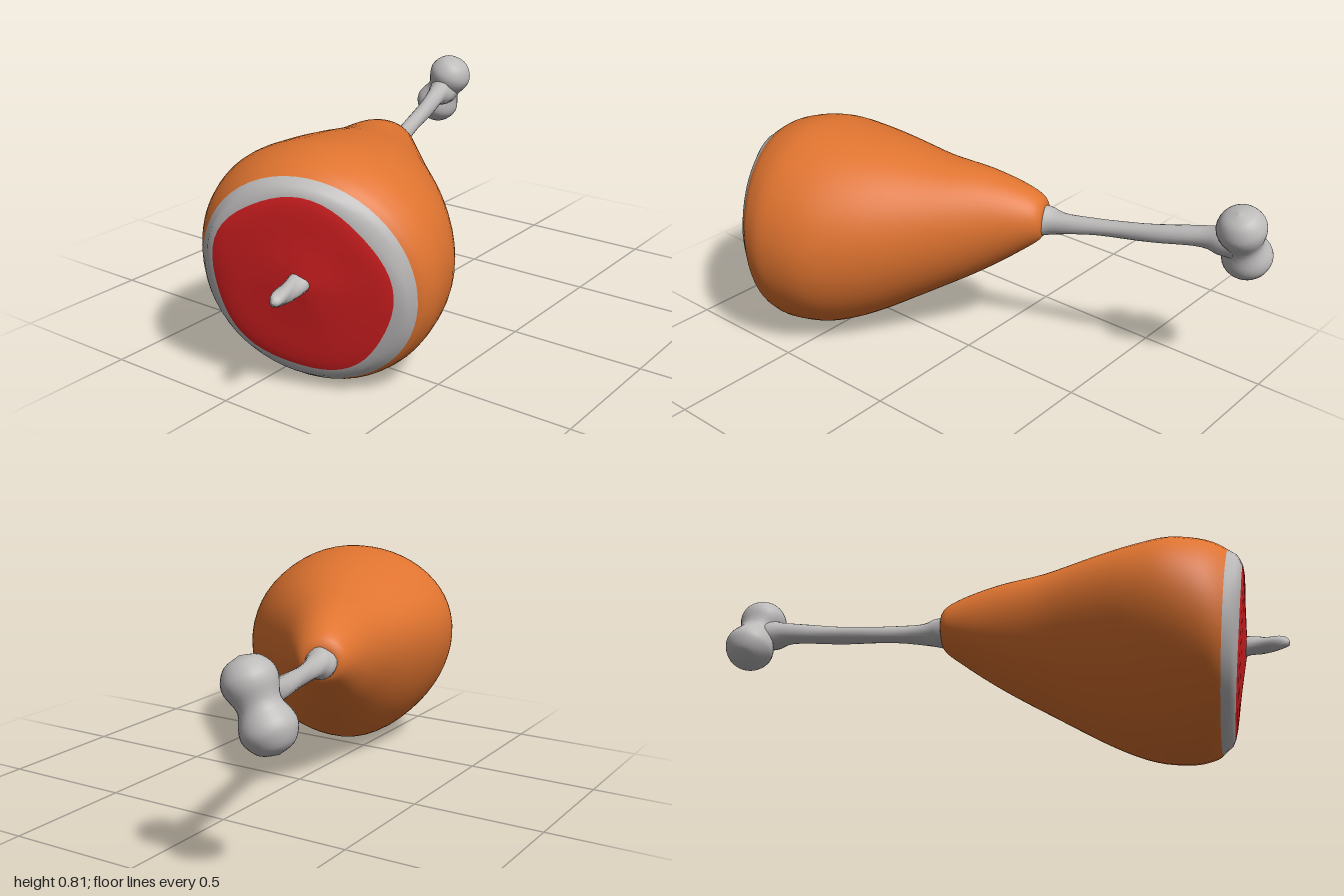
import * as THREE from 'three';

const V = (x, y, z) => new THREE.Vector3(x, y, z);
const skin = new THREE.MeshStandardMaterial({ color: 0xe07430 });
skin.name = 'roastedSkin';
const boneGrey = new THREE.MeshStandardMaterial({ color: 0xbdbaba });
boneGrey.name = 'boneAndFat';
const meatRed = new THREE.MeshStandardMaterial({ color: 0xd82022 });
meatRed.name = 'redMeat';

// Skin closed rings, ordered from back (-z) to front (+z); point(i, angle) gives a vertex
function loft(count, sides, point) {
  const pos = [], idx = [];
  for (let i = 0; i < count; i++) {
    for (let j = 0; j < sides; j++) pos.push(...point(i, (j / sides) * Math.PI * 2).toArray());
  }
  for (let i = 0; i < count - 1; i++) {
    for (let j = 0; j < sides; j++) {
      const a = i * sides + j, b = i * sides + (j + 1) % sides;
      idx.push(a, b, b + sides, a, b + sides, a + sides);
    }
  }
  const g = new THREE.BufferGeometry();
  g.setAttribute('position', new THREE.Float32BufferAttribute(pos, 3));
  g.setIndex(idx);
  g.computeVertexNormals();
  return g;
}

const smooth = (pts) => new THREE.CatmullRomCurve3(pts, false, 'catmullrom', 0.5);

function mesh(name, geometry, material) {
  const m = new THREE.Mesh(geometry, material);
  m.name = name;
  return m;
}

// Tilted oval slices: left x,z | right x,z | bottom y, top y | tilt, lift of the left side
const SLICES = [
  [-0.212, -0.19, -0.208, -0.192, 0.54, 0.544, 0, 0],
  [-0.28, -0.165, -0.145, -0.22, 0.48, 0.615, 0, 0],
  [-0.292, -0.09, -0.075, -0.175, 0.42, 0.665, 0, 0],
  [-0.285, 0.07, 0.05, -0.05, 0.31, 0.715, 0, 0.02],
  [-0.28, 0.25, 0.22, 0.11, 0.2, 0.745, 0, 0.05],
  [-0.295, 0.45, 0.39, 0.27, 0.09, 0.785, 0, 0.08],
  [-0.3, 0.59, 0.5, 0.41, 0.03, 0.81, 0.02, 0.09],
  [-0.285, 0.71, 0.548, 0.55, 0.008, 0.822, 0.05, 0.08],
  [-0.24, 0.82, 0.547, 0.625, 0.014, 0.8, 0.09, 0.04],
  [-0.18, 0.885, 0.53, 0.665, 0.035, 0.765, 0.12, 0],
  [-0.105, 0.92, 0.475, 0.725, 0.09, 0.71, 0.13, 0],
  [0.05, 0.885, 0.34, 0.785, 0.25, 0.56, 0.13, 0],
  [0.185, 0.85, 0.205, 0.848, 0.402, 0.418, 0.13, 0],
];

function buildHam() {
  const sub = 4, sides = 56, last = SLICES.length - 1;
  const left = smooth(SLICES.map((s) => V(s[0], s[1], s[7])));
  const right = smooth(SLICES.map((s) => V(s[2], s[3], s[6])));
  const height = smooth(SLICES.map((s) => V(s[4], s[5], 0)));
  const g = loft(last * sub + 1, sides, (i, a) => {
    const t = i / (last * sub);
    const l = left.getPoint(t), r = right.getPoint(t), h = height.getPoint(t);
    const c = Math.cos(a), s = Math.sin(a), ry = (h.y - h.x) / 2;
    // slightly uneven rim around the cut face
    const w = t > 9.5 / last ? 1 + 0.02 * Math.sin(5 * a + 1) : 1;
    return V(
      (l.x + r.x) / 2 + w * c * (r.x - l.x) / 2,
      (h.x + h.y) / 2 + w * s * ry + (c < 0 ? l.z * c * c * (1 - 0.5 * s) : 0),
      (l.y + r.y) / 2 + w * (c * (r.y - l.y) / 2 + r.z * s * ry),
    );
  });
  // skin, fat rim and cut face share one smooth surface
  const band = (from, to, m) => g.addGroup(from * sub * sides * 6, (to - from) * sub * sides * 6, m);
  band(0, 9, 0);
  band(9, 10, 1);
  band(10, last, 2);
  return mesh('ham', g, [skin, boneGrey, meatRed]);
}

// Knobbly round rod from rows of [x, y, z, radius]
function rod(rows, sub, rough) {
  const path = smooth(rows.map((r) => V(r[0], r[1], r[2])));
  const radius = smooth(rows.map((r) => V(r[3], 0, 0)));
  const n = (rows.length - 1) * sub;
  return loft(n + 1, 20, (i, a) => {
    const p = path.getPoint(i / n);
    const r = Math.max(0, radius.getPoint(i / n).x) * (1 + rough * Math.sin(3 * a + i * 0.9));
    return V(p.x + r * Math.cos(a), p.y + r * Math.sin(a), p.z);
  });
}

export function createModel() {
  const model = new THREE.Group();
  model.name = 'hamOnTheBone';
  model.add(buildHam());

  // Long bone out of the narrow end
  model.add(mesh('boneShaft', rod([
    [-0.43, 0.6, -0.9, 0.07],
    [-0.412, 0.6, -0.84, 0.058],
    [-0.39, 0.597, -0.77, 0.041],
    [-0.335, 0.575, -0.6, 0.035],
    [-0.272, 0.556, -0.4, 0.032],
    [-0.228, 0.544, -0.26, 0.042],
    [-0.212, 0.541, -0.205, 0.058],
    [-0.208, 0.541, -0.17, 0.06],
  ], 4, 0.04), boneGrey));

  // Two-lobed knuckle
  const profile = new THREE.SplineCurve([
    [0, -0.16], [0.055, -0.143], [0.087, -0.1], [0.09, -0.06], [0.07, 0],
    [0.088, 0.06], [0.085, 0.1], [0.055, 0.14], [0, 0.157],
  ].map(([x, y]) => new THREE.Vector2(x, y))).getPoints(32);
  profile.forEach((p) => { p.x = Math.max(0, p.x); });
  const knuckle = mesh('boneKnuckle', new THREE.LatheGeometry(profile, 28), boneGrey);
  knuckle.position.set(-0.438, 0.6, -0.905);
  knuckle.rotation.z = -0.46;
  model.add(knuckle);

  // Bone stub in the middle of the cut face
  model.add(mesh('boneStub', rod([
    [0.19, 0.415, 0.82, 0.04],
    [0.194, 0.415, 0.87, 0.034],
    [0.205, 0.414, 0.93, 0.028],
    [0.217, 0.413, 0.985, 0.02],
    [0.22, 0.413, 1.0, 0],
  ], 3, 0.12), boneGrey));

  return model;
}
